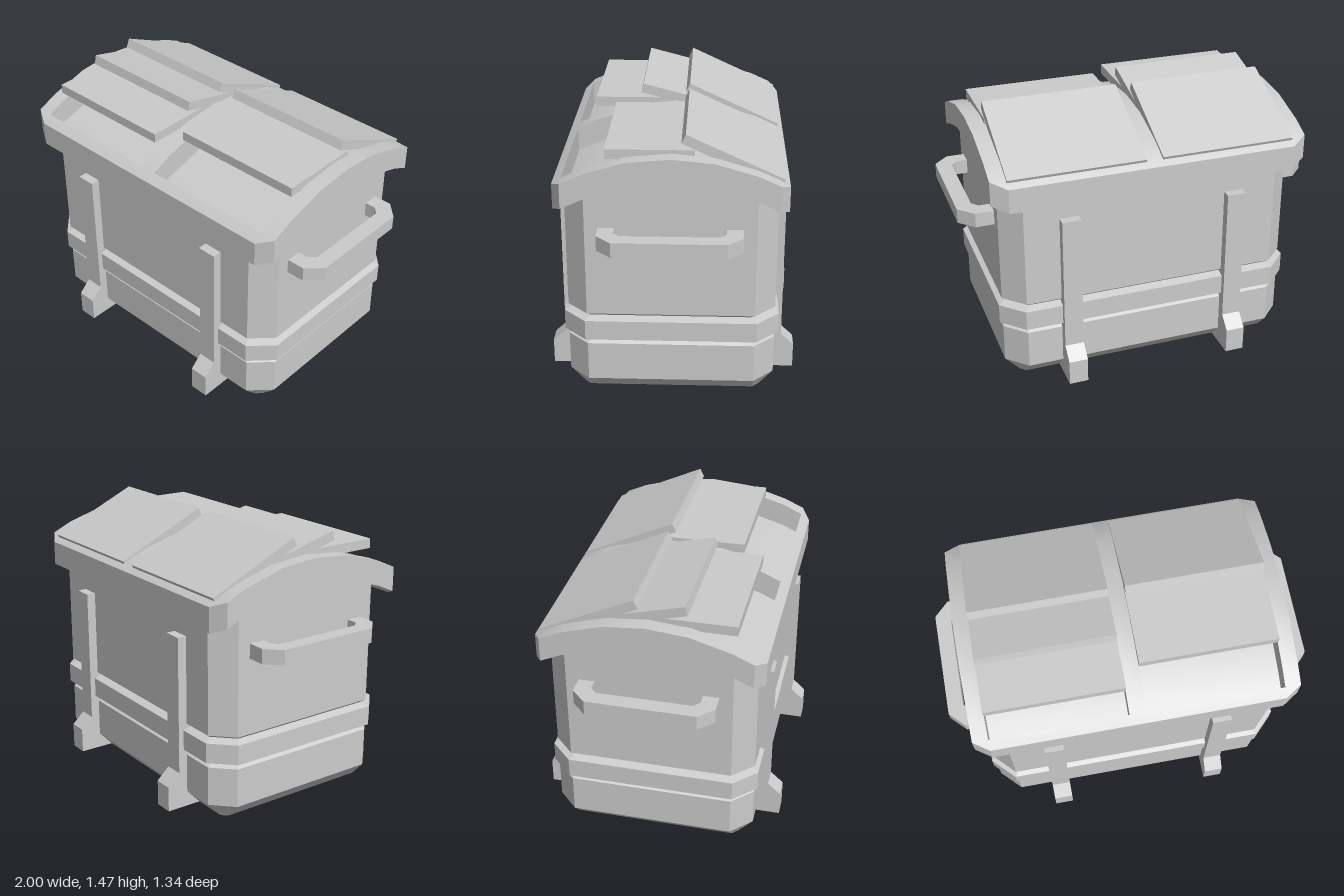
import * as THREE from 'three';
import { toCreasedNormals } from 'three/addons/utils/BufferGeometryUtils.js';

const material = new THREE.MeshStandardMaterial({ color: 0xcccccc, flatShading: true });
const smooth = new THREE.MeshStandardMaterial({ color: 0xcccccc });

function add(parent, name, geometry, mat = material) {
  const mesh = new THREE.Mesh(geometry, mat);
  mesh.name = name;
  parent.add(mesh);
  return mesh;
}

function fromTriangles(points) {
  const g = new THREE.BufferGeometry();
  g.setAttribute('position', new THREE.Float32BufferAttribute(points.flat(), 3));
  g.computeVertexNormals();
  return g;
}

// Arched lid: rows along z with the height of the upper surface
const THICK = 0.135;
const lidZ = [-0.6, -0.55, -0.44, -0.22, 0, 0.22, 0.44, 0.55, 0.6];
const lidY = [1.2, 1.235, 1.285, 1.35, 1.37, 1.35, 1.285, 1.235, 1.2];
function lidHeight(z) {
  let j = 0;
  while (j < lidZ.length - 2 && z > lidZ[j + 1]) j++;
  return THREE.MathUtils.mapLinear(z, lidZ[j], lidZ[j + 1], lidY[j], lidY[j + 1]);
}

// Chamfered rectangle with extra points along its sides, so the top can follow the arch
function bodyRing(hx, hz, c, y) {
  const s = hz - c, ring = [];
  for (const f of [-1, -0.5, 0, 0.5, 1]) ring.push([hx, s * f]);
  ring.push([hx - c, hz], [c - hx, hz]);
  for (const f of [1, 0.5, 0, -0.5, -1]) ring.push([-hx, s * f]);
  ring.push([c - hx, -hz], [hx - c, -hz]);
  return ring.map(([x, z]) => [x, y ?? lidHeight(z) - THICK, z]);
}

function bodyGeometry() {
  // Outward offset, chamfer and height of each level, with a raised band
  const rings = [
    [-0.08, 0.03, 0], [0, 0.11, 0.085], [0, 0.11, 0.3], [-0.025, 0.105, 0.315],
    [0.02, 0.12, 0.335], [0.02, 0.12, 0.445], [-0.025, 0.105, 0.46], [0, 0.11, 0.48], [0, 0.11],
  ].map(([o, c, y]) => bodyRing(0.82 + o, 0.55 + o, c, y));
  const tris = [], n = rings[0].length;
  for (let i = 0; i < n; i++) {
    const k = (i + 1) % n;
    tris.push([0, 0, 0], rings[0][i], rings[0][k]);
    for (let j = 0; j < rings.length - 1; j++) {
      const lo = rings[j], hi = rings[j + 1];
      tris.push(lo[i], hi[i], lo[k], lo[k], hi[i], hi[k]);
    }
  }
  return fromTriangles(tris);
}

function lidGeometry() {
  const tris = [];
  const quad = (a, b, c, d) => tris.push(a, b, c, a, c, d);
  const rows = lidZ.length - 1;
  const point = (i, j, drop) => {
    const w = j === 0 || j === rows ? 0.79 : 0.875;
    return [[-w, -0.79, -0.045, 0.045, 0.79, w][i], lidY[j] - drop, lidZ[j]];
  };
  const inside = (i, j) => i >= 0 && i < 5 && j >= 0 && j < rows;
  // The right hatch runs the whole depth, the left one only the front half
  const hole = (i, j) => (i === 1 && j > 0 && j < rows - 1) || (i === 3 && j >= 4 && j < rows - 1);
  for (let i = 0; i < 5; i++) for (let j = 0; j < rows; j++) {
    const corners = [[i, j], [i, j + 1], [i + 1, j + 1], [i + 1, j]];
    const top = corners.map(([a, b]) => point(a, b, 0));
    const low = corners.map(([a, b]) => point(a, b, THICK));
    if (hole(i, j)) { quad(...low); continue; }
    quad(...top);
    quad(...low.slice().reverse());
    [[i - 1, j], [i, j + 1], [i + 1, j], [i, j - 1]].forEach(([a, b], e) => {
      const f = (e + 1) % 4;
      if (!inside(a, b) || hole(a, b)) quad(top[e], low[e], low[f], top[f]);
    });
  }
  return toCreasedNormals(fromTriangles(tris), 0.45);
}

// Hatch panel placed by its upper front edge and sloping down to the back
function addFlap(parent, name, x, y, z, slope, length) {
  const g = new THREE.BoxGeometry(0.745, 0.052, length);
  g.translate(0, -0.026, -length / 2);
  const flap = add(parent, name, g);
  flap.position.set(x, y, z);
  flap.rotation.x = -slope;
}

function extrude(points, depth) {
  const shape = new THREE.Shape(points.map(([x, y]) => new THREE.Vector2(x, y)));
  const g = new THREE.ExtrudeGeometry(shape, { depth, bevelEnabled: false });
  return g.translate(0, 0, -depth / 2);
}

export function createModel() {
  const model = new THREE.Group();
  model.name = 'wasteContainer';
  add(model, 'body', bodyGeometry());
  add(model, 'lid', lidGeometry(), smooth);

  // Hatch panels, some slid forward or propped open
  addFlap(model, 'rightBackFlap', -0.4175, 1.47, -0.075, 0.433, 0.55);
  addFlap(model, 'leftBackFlap', 0.4175, 1.47, -0.075, 0.433, 0.55);
  addFlap(model, 'rightMiddleFlap', -0.4175, 1.467, 0.185, 0.253, 0.47);
  addFlap(model, 'rightFrontFlap', -0.4175, 1.388, 0.45, 0, 0.56);
  addFlap(model, 'leftFrontFlap', 0.4175, 1.388, 0.33, 0, 0.45);

  // Upright rails with wider feet, on front and back
  const rail = extrude([[0.46, 0], [0.67, 0], [0.67, 0.14], [0.6, 0.205], [0.6, 0.965], [0.46, 0.965]], 0.105);
  rail.rotateY(-Math.PI / 2);
  for (const [side, turn] of [['front', 0], ['back', Math.PI]]) {
    for (const x of [-0.465, 0.465]) {
      const mesh = add(model, side + 'Rail', rail);
      mesh.rotation.y = turn;
      mesh.position.x = x;
    }
  }

  // Side handles
  const handle = extrude([
    [0.8, -0.37], [0.92, -0.37], [1, -0.29], [1, 0.29], [0.92, 0.37], [0.8, 0.37],
    [0.8, 0.285], [0.88, 0.285], [0.915, 0.25], [0.915, -0.25], [0.88, -0.285], [0.8, -0.285],
  ], 0.08);
  handle.rotateX(Math.PI / 2);
  for (const [name, turn] of [['leftHandle', 0], ['rightHandle', Math.PI]]) {
    const mesh = add(model, name, handle);
    mesh.rotation.y = turn;
    mesh.position.y = 0.935;
  }
  return model;
}
